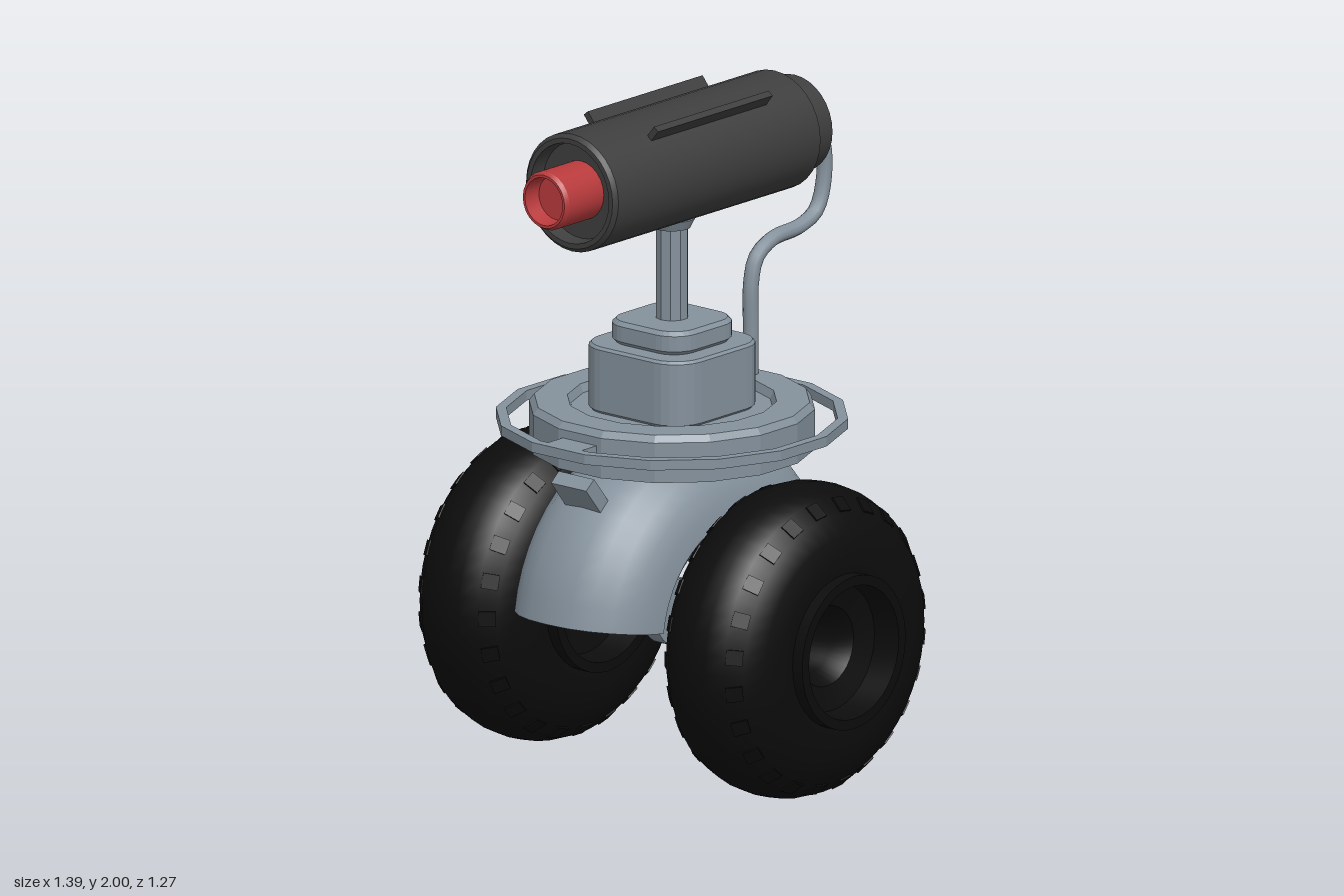
import * as THREE from 'three';
import { toCreasedNormals } from 'three/addons/utils/BufferGeometryUtils.js';

const CZ = 0.065;      // z of the vertical body axis
const AXLE_Y = 0.47;

export function createModel() {
  const model = new THREE.Group();
  model.name = 'wheeledCameraRobot';
  const paint = (name, color) => Object.assign(new THREE.MeshStandardMaterial({ color }), { name });
  const grey = paint('steelGrey', 0x84919c);
  const black = paint('tyreBlack', 0x0c0c0c);
  const dark = paint('charcoal', 0x3e3e3e);
  const red = paint('lensRed', 0xb83a3c);
  grey.side = THREE.DoubleSide;

  function add(parent, name, geometry, material, x = 0, y = 0, z = 0) {
    const mesh = new THREE.Mesh(geometry, material);
    mesh.name = name;
    mesh.position.set(x, y, z);
    parent.add(mesh);
    return mesh;
  }
  // Profile of [radius, height] points turned around y; the outside runs upwards
  function turn(points, sides, crease = 0.5, start = 0, sweep = Math.PI * 2) {
    const pts = points.map(([r, h]) => new THREE.Vector2(r, h));
    return toCreasedNormals(new THREE.LatheGeometry(pts, sides, start, sweep), crease);
  }
  // Square with rounded corners, extruded upwards with a small bevel
  function roundedBlock(half, corner, height, bevel) {
    const a = half - bevel, c = a - corner, s = new THREE.Shape();
    for (let i = 0; i < 4; i++) {
      const q = i * Math.PI / 2;
      const cx = c * (i === 0 || i === 3 ? 1 : -1), cy = c * (i < 2 ? 1 : -1);
      s.absarc(cx, cy, corner, q, q + Math.PI / 2, false);
    }
    const g = new THREE.ExtrudeGeometry(s, {
      depth: height - 2 * bevel, bevelEnabled: true, bevelSize: bevel,
      bevelThickness: bevel, bevelSegments: 1, curveSegments: 3,
    });
    return g.translate(0, 0, bevel).rotateX(-Math.PI / 2);
  }

  // Wheels: fat tyre, open hub and shallow tread blocks
  const tyreProfile = [
    [0.2, -0.185], [0.27, -0.192], [0.34, -0.18], [0.4, -0.15], [0.442, -0.105], [0.462, -0.05], [0.467, 0],
    [0.462, 0.05], [0.442, 0.105], [0.4, 0.15], [0.34, 0.18], [0.27, 0.192], [0.2, 0.185],
  ];
  const tyreGeo = turn(tyreProfile, 48).rotateZ(-Math.PI / 2);
  const hubGeo = turn([
    [0.09, -0.12], [0.19, -0.14], [0.2, -0.225], [0.23, -0.225], [0.23, 0.225], [0.2, 0.225],
    [0.19, 0.14], [0.12, 0.12], [0.09, 0.06], [0.09, -0.12],
  ], 36).rotateZ(-Math.PI / 2);
  const blockGeo = new THREE.BoxGeometry(0.05, 0.012, 0.045);
  for (const side of [1, -1]) {
    const wheel = new THREE.Group();
    wheel.name = side > 0 ? 'leftWheel' : 'rightWheel';
    wheel.position.set(side * 0.472, AXLE_Y, CZ);
    wheel.rotation.y = side > 0 ? 0 : Math.PI;
    add(wheel, 'tyre', tyreGeo, black);
    add(wheel, 'hub', hubGeo, black);
    for (let i = 0; i < 24; i++) {
      for (const edge of [1, -1]) {
        const spoke = new THREE.Group();
        spoke.name = 'treadBlock';
        spoke.rotation.x = (i + (edge > 0 ? 0.5 : 0)) * Math.PI / 12;
        add(spoke, 'block', blockGeo, black, edge * 0.126, 0.42, 0).rotation.z = -edge * 0.73;
        wheel.add(spoke);
      }
    }
    model.add(wheel);
    // Axle hanger inside the fender
    add(model, 'axleHanger', new THREE.BoxGeometry(0.03, 0.42, 0.06), grey, side * 0.225, 0.64, CZ);
  }

  // Axle with its middle collar
  add(model, 'axle', new THREE.CylinderGeometry(0.035, 0.035, 0.5, 16).rotateZ(Math.PI / 2), grey, 0, AXLE_Y, CZ);
  add(model, 'axleCollar', new THREE.CylinderGeometry(0.1, 0.1, 0.055, 24).rotateZ(Math.PI / 2), grey, 0, AXLE_Y, CZ);

  // Arched fender: rounded shell swept over the axle, closed at both ends
  const half = [[0.33, 0.25], [0.385, 0.243], [0.44, 0.222], [0.49, 0.185], [0.53, 0.135], [0.555, 0.075]];
  const outer = [...half.map(([r, x]) => [r, -x]), [0.563, 0], ...half.slice().reverse()];
  const inner = outer.map(([r, x]) => [r - 0.03, x * 0.9]).reverse();
  const shell = [...outer, ...inner, outer[0]];
  const tilt = 0.135;
  add(model, 'fender', turn(shell, 22, 0.5, tilt, Math.PI - 2 * tilt).rotateZ(Math.PI / 2), grey, 0, AXLE_Y, CZ);
  const section = new THREE.Shape(shell.map(([r, x]) => new THREE.Vector2(x, r)));
  for (const phi of [tilt, Math.PI - tilt]) {
    add(model, 'fenderEdge', new THREE.ShapeGeometry(section).rotateX(Math.PI / 2 - phi), grey, 0, AXLE_Y, CZ);
  }

  // Sixteen-sided base with a recessed top and hollow underside
  const facet = 1 / Math.cos(Math.PI / 16);
  const faceted = (points) => turn(points.map(([r, h]) => [r * facet, h]), 16, 0.2, Math.PI / 16);
  add(model, 'base', faceted([
    [0, 1.04], [0.35, 1.04], [0.375, 0.97], [0.41, 0.97], [0.41, 1.09], [0.395, 1.11],
    [0.3, 1.11], [0.29, 1.085], [0, 1.085],
  ]), grey, 0, 0, CZ);
  add(model, 'bumperRing', faceted([
    [0.475, 1.035], [0.505, 1.035], [0.505, 1.065], [0.475, 1.065], [0.475, 1.035],
  ]), grey, 0, 0, CZ);

  // Front and back: ring clips and slanted brackets on the fender
  for (const dir of [1, -1]) {
    add(model, 'ringClip', new THREE.BoxGeometry(0.13, 0.03, 0.1), grey, 0, 1.05, CZ + dir * 0.445);
    add(model, 'fenderBracket', new THREE.BoxGeometry(0.135, 0.15, 0.045), grey, 0, 0.895, CZ + dir * 0.395)
      .rotation.x = dir * 0.68;
  }

  // Pedestal, neck and pole
  add(model, 'pedestal', roundedBlock(0.2, 0.09, 0.2, 0.008), grey, 0, 1.085, CZ);
  add(model, 'neck', roundedBlock(0.147, 0.07, 0.07, 0.012), grey, 0, 1.285, CZ);
  add(model, 'pole', toCreasedNormals(new THREE.CylinderGeometry(0.048, 0.048, 0.33, 10), 0.3), grey, 0, 1.51, CZ);
  add(model, 'poleFlange', new THREE.CylinderGeometry(0.07, 0.055, 0.03, 16), grey, 0, 1.642, CZ);

  // Camera: barrel with open rims, rear cap, red lens and two fins
  const camera = new THREE.Group();
  camera.name = 'camera';
  camera.position.y = 1.823;
  model.add(camera);
  add(camera, 'barrel', turn([
    [0, -0.39], [0.177, -0.39], [0.177, 0.508], [0.165, 0.52], [0.15, 0.52], [0.145, 0.47], [0, 0.47],
  ], 32).rotateX(Math.PI / 2), dark);
  add(camera, 'rearCap', turn([
    [0, -0.42], [0.09, -0.42], [0.1, -0.48], [0.145, -0.48], [0.145, -0.385],
  ], 32).rotateX(Math.PI / 2), dark);
  add(camera, 'lens', turn([
    [0.088, 0.46], [0.088, 0.622], [0.08, 0.635], [0.072, 0.635], [0.066, 0.58], [0, 0.58],
  ], 24).rotateX(Math.PI / 2), red);
  for (const side of [1, -1]) {
    const angle = 0.67;
    add(camera, 'fin', new THREE.BoxGeometry(0.02, 0.055, 0.51), dark,
      side * Math.sin(angle) * 0.189, Math.cos(angle) * 0.189, 0.037).rotation.z = -side * angle;
  }

  // Cable from the rear cap down to the base
  const path = [
    [1.825, -0.41], [1.825, -0.5], [1.805, -0.555], [1.745, -0.603], [1.63, -0.61], [1.54, -0.575], [1.507, -0.5],
    [1.495, -0.38], [1.455, -0.31], [1.38, -0.286], [1.25, -0.285], [1.07, -0.285],
  ].map(([y, z]) => new THREE.Vector3(0, y, z));
  add(model, 'cable', new THREE.TubeGeometry(new THREE.CatmullRomCurve3(path), 40, 0.023, 10), grey);

  return model;
}
